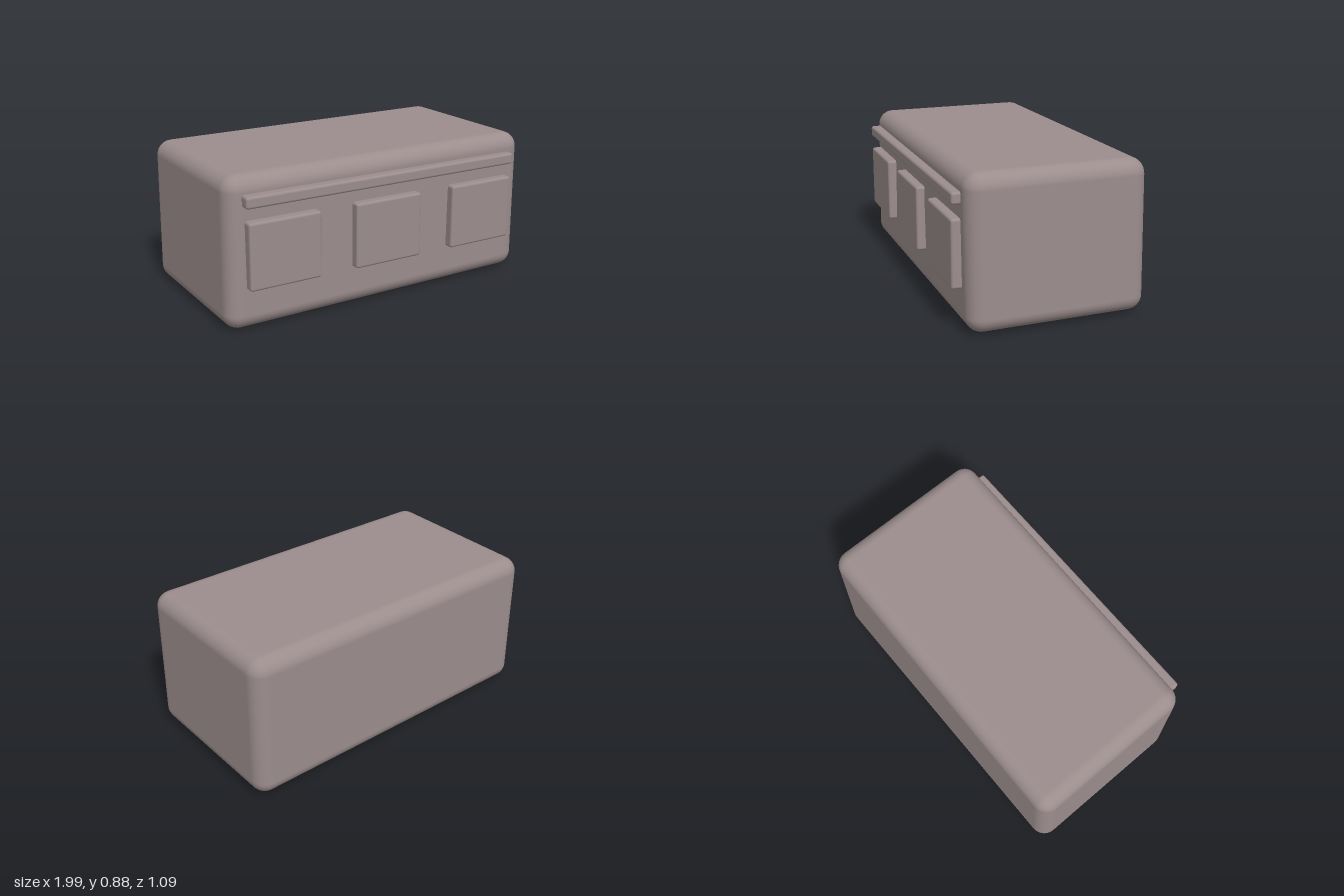
import * as THREE from 'three';
import { RoundedBoxGeometry } from 'three/addons/geometries/RoundedBoxGeometry.js';

const mauve = new THREE.MeshStandardMaterial({ color: 0x9c8d8d });
mauve.name = 'dusty mauve';

// Rounded block spanning the given ranges on each axis
function block(name, [x0, x1], [y0, y1], [z0, z1], radius, segments) {
  const geometry = new RoundedBoxGeometry(x1 - x0, y1 - y0, z1 - z0, segments, radius);
  geometry.translate((x0 + x1) / 2, (y0 + y1) / 2, (z0 + z1) / 2);
  const mesh = new THREE.Mesh(geometry, mauve);
  mesh.name = name;
  return mesh;
}

// Hand-made skew: the faces of the body lean slightly out of square
function skewBody(geometry) {
  const p = geometry.attributes.position;
  for (let i = 0; i < p.count; i++) {
    const u = p.getX(i);
    const v = (p.getY(i) - 0.4375) / 0.4375;
    const w = (p.getZ(i) + 0.025) / 0.515;
    p.setXYZ(
      i,
      u * (0.985 - 0.0075 * v) + 0.0075 * w,
      0.4385 + 0.4325 * v + 0.006 * u,
      -0.024 + 0.515 * w + 0.006 * u * v
    );
  }
}

export function createModel() {
  const model = new THREE.Group();
  model.name = 'paneledBlock';

  // Main body
  const body = block('body', [-1, 1], [0, 0.875], [-0.54, 0.49], 0.09, 5);
  skewBody(body.geometry);
  model.add(body);

  // Long trim strip above the panels
  model.add(block('trimStrip', [-0.885, 0.885], [0.703, 0.77], [0.42, 0.545], 0.015, 3));

  // Three raised square panels
  ['rightPanel', 'middlePanel', 'leftPanel'].forEach((name, i) => {
    const x = (i - 1) * 0.657;
    model.add(block(name, [x - 0.217, x + 0.217], [0.243, 0.626], [0.42, 0.545], 0.015, 3));
  });

  return model;
}
